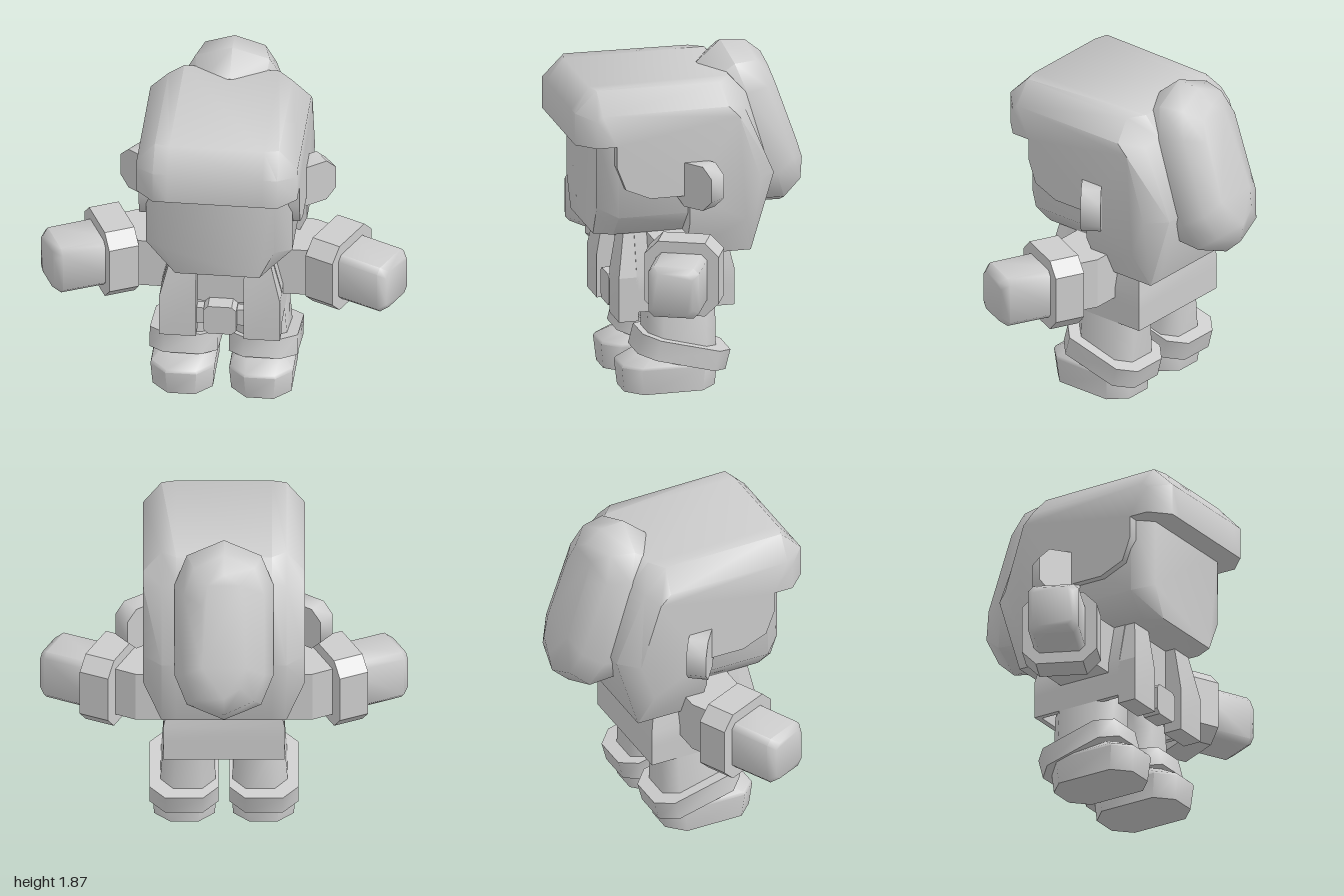
import * as THREE from 'three';
import { toCreasedNormals } from 'three/addons/utils/BufferGeometryUtils.js';

const grey = new THREE.MeshStandardMaterial({ color: 0xcccccc });
grey.name = 'light grey';

// Skins a stack of matching outlines; each layer is { p: [[u, v], ...], h } with h rising.
function loft(layers, crease = 0.6) {
  const ccw = THREE.ShapeUtils.area(layers[0].p.map(q => new THREE.Vector2(...q))) > 0;
  const rings = layers.map(l => (ccw ? l.p : [...l.p].reverse()).map(q => new THREE.Vector3(q[0], q[1], l.h)));
  const n = rings[0].length, pos = [];
  const tri = (a, b, c) => [a, b, c].forEach(v => pos.push(v.x, v.y, v.z));
  for (let i = 0; i + 1 < rings.length; i++) {
    for (let j = 0; j < n; j++) {
      const k = (j + 1) % n, a = rings[i], b = rings[i + 1];
      tri(a[j], a[k], b[k]);
      tri(a[j], b[k], b[j]);
    }
  }
  const cap = (r, up) => THREE.ShapeUtils.triangulateShape(r.map(v => new THREE.Vector2(v.x, v.y)), [])
    .forEach(([a, b, c]) => (up ? tri(r[a], r[b], r[c]) : tri(r[c], r[b], r[a])));
  cap(rings[0], false);
  cap(rings[rings.length - 1], true);
  const g = new THREE.BufferGeometry();
  g.setAttribute('position', new THREE.Float32BufferAttribute(pos, 3));
  return toCreasedNormals(g, crease);
}

// Lofts along y take outlines in (x, z); lofts along x take outlines in (z, y).
const loftY = (layers, crease) =>
  loft(layers.map(l => ({ h: l.h, p: l.p.map(([x, z]) => [x, -z]) })), crease).rotateX(-Math.PI / 2);
const loftX = (layers, crease) =>
  loft(layers.map(l => ({ h: l.h, p: l.p.map(([z, y]) => [-z, y]) })), crease).rotateY(Math.PI / 2);

// Rectangle with cut corners, half sizes a and b, cut c, centred on (x, y).
const oct = (a, b, c, x = 0, y = 0) => [
  [a, b - c], [a - c, b], [c - a, b], [-a, b - c], [-a, c - b], [c - a, -b], [a - c, -b], [a, c - b],
].map(([u, v]) => [u + x, v + y]);

function add(parent, name, geometry) {
  const m = new THREE.Mesh(geometry, grey);
  m.name = name;
  parent.add(m);
  return m;
}

export function createModel() {
  const model = new THREE.Group();
  model.name = 'figure';

  // Face block with bevelled front
  const face = (a, y, b) => [[a, 1.5], [-a, 1.5], [-a, y], [-b, 0.9], [b, 0.9], [a, y]];
  add(model, 'face', loft([
    { p: face(0.4, 1.03, 0.28), h: -0.2 },
    { p: face(0.4, 1.03, 0.28), h: 0.46 },
    { p: face(0.31, 1.07, 0.23), h: 0.56 },
  ], 0.9));

  // Hair shell with an overhanging fringe, rounded sides and cut top corners at the back
  const opening = [[0.07, 1.14], [0.29, 1.14], [0.43, 1.2], [0.48, 1.33], [0.48, 1.45]];
  const low = [[-0.43, 1.2], [-0.3, 0.77], [0.07, 0.77], ...opening];
  const fringe = [[0.69, 1.45], [0.69, 1.63]];
  const middle = [...fringe, [0.59, 1.75], [-0.2, 1.75], [-0.3, 1.64], ...low];
  const shoulder = [...fringe, [0.57, 1.75], [-0.13, 1.74], [-0.26, 1.6], ...low];
  const side = [[0.59, 1.45], [0.59, 1.6], [0.56, 1.63], [-0.15, 1.63], [-0.21, 1.57],
    [-0.33, 1.2], [-0.25, 0.98], [0.07, 0.98], ...opening];
  add(model, 'hair', loftX([
    { p: side, h: -0.44 }, { p: shoulder, h: -0.34 }, { p: middle, h: -0.26 },
    { p: middle, h: 0.26 }, { p: shoulder, h: 0.34 }, { p: side, h: 0.44 },
  ], 0.95));

  // Long bun lying tilted against the back of the head
  const half = [[0, 1], [0.75, 0.83], [1, 0.5], [1, -0.5], [0.75, -0.83]];
  const lozenge = [...half, ...half.map(([x, y]) => [-x, -y])];
  const bun = add(model, 'backBun', loft(
    [[0.24, 0.435, -0.165], [0.27, 0.5, 0], [0.22, 0.445, 0.125], [0.12, 0.345, 0.185]]
      .map(([w, l, h]) => ({ h, p: lozenge.map(([x, y]) => [x * w, y * l]) })), 1));
  bun.rotation.set(-0.34, Math.PI, 0, 'YXZ');
  bun.position.set(0, 1.4, -0.386);

  // Jacket body, with an open skirt below it
  const rect = (w, back, front) => [[w, front], [-w, front], [-w, back], [w, back]];
  add(model, 'jacket', loftY([
    { p: rect(0.33, -0.21, 0.34), h: 0.58 },
    { p: rect(0.33, -0.21, 0.34), h: 0.67 },
    { p: rect(0.27, -0.16, 0.34), h: 0.92 },
  ], 0.4));
  const skirt = [[0.33, 0.34], [0.33, -0.21], [-0.33, -0.21], [-0.33, 0.34],
    [-0.3, 0.34], [-0.3, -0.18], [0.3, -0.18], [0.3, 0.34]];
  add(model, 'jacketSkirt', loftY([{ p: skirt, h: 0.46 }, { p: skirt, h: 0.58 }], 0.3));

  // Belt and buckle
  add(model, 'belt', new THREE.BoxGeometry(0.3, 0.1, 0.06)).position.set(0, 0.515, 0.36);
  const buckle = oct(0.09, 0.088, 0.025, 0, 0.515);
  add(model, 'buckle', loft([{ p: buckle, h: 0.33 }, { p: buckle, h: 0.43 }], 0.3));

  for (const s of [1, -1]) {
    const label = s > 0 ? 'left' : 'right';
    const limb = new THREE.Group();
    limb.name = label + 'Side';
    model.add(limb);

    // Hanging front panel of the jacket
    const panel = (outer, z) => [[s * 0.13, 0.33], [s * outer, 0.33], [s * outer, z], [s * 0.13, z]];
    add(limb, label + 'JacketPanel', loftY([
      { p: panel(0.33, 0.44), h: 0.41 }, { p: panel(0.33, 0.44), h: 0.66 }, { p: panel(0.27, 0.4), h: 0.9 },
    ], 0.2));

    // Ear disc, turned partly forward
    const ear = add(limb, label + 'Ear', loft([
      { p: oct(0.125, 0.125, 0.06), h: -0.055 }, { p: oct(0.125, 0.125, 0.06), h: 0.055 },
    ], 0.9));
    ear.position.set(s * 0.457, 1.205, 0.02);
    ear.rotation.y = s * 0.64;

    // Sleeve
    const sleeve = [[0.2, -0.04], [0.48, -0.04], [0.66, 0.05], [0.56, 0.27], [0.2, 0.27]]
      .map(([x, z]) => [s * x, z]);
    add(limb, label + 'Sleeve', loftY([{ p: sleeve, h: 0.61 }, { p: sleeve, h: 0.9 }], 0.2));

    // Forearm: cuff ring and mitten, swung forward
    const forearm = new THREE.Group();
    forearm.name = label + 'Forearm';
    forearm.position.set(s * 0.62, 0.755, 0.152);
    forearm.rotation.y = -s * 0.44;
    limb.add(forearm);
    add(forearm, label + 'SleeveCuff', loftX([
      { p: oct(0.205, 0.208, 0.075), h: -0.085 }, { p: oct(0.205, 0.208, 0.075), h: 0.085 },
    ], 0.3));
    const hand = [[0.14, 0.145, 0.03, 0], [0.14, 0.143, 0.03, 0.33], [0.11, 0.115, 0.03, 0.37]]
      .map(([a, b, c, x]) => ({ p: oct(a, b, c), h: s * x }));
    add(forearm, label + 'Hand', loftX(s > 0 ? hand : hand.reverse(), 1));

    // Trouser leg
    add(limb, label + 'Leg', loftY([
      { p: oct(0.155, 0.19, 0.07, s * 0.2, 0.07), h: 0.12 },
      { p: oct(0.14, 0.19, 0.07, s * 0.19, 0.07), h: 0.46 },
      { p: oct(0.13, 0.18, 0.07, s * 0.16, 0.07), h: 0.6 },
    ], 0.9));

    // Tilted boot cuff
    const cuff = add(limb, label + 'BootCuff', loftY([
      { p: oct(0.187, 0.255, 0.085), h: -0.057 }, { p: oct(0.187, 0.255, 0.085), h: 0.057 },
    ], 0.9));
    cuff.position.set(s * 0.217, 0.21, 0.07);
    cuff.rotation.x = -0.255;

    // Boot foot
    add(limb, label + 'Foot', loftY([
      { p: oct(0.165, 0.255, 0.09, s * 0.215, 0.145), h: 0 },
      { p: oct(0.175, 0.268, 0.09, s * 0.215, 0.147), h: 0.14 },
      { p: oct(0.17, 0.262, 0.09, s * 0.215, 0.145), h: 0.155 },
      { p: oct(0.12, 0.19, 0.06, s * 0.2, 0.11), h: 0.21 },
    ], 0.9));
  }
  return model;
}
